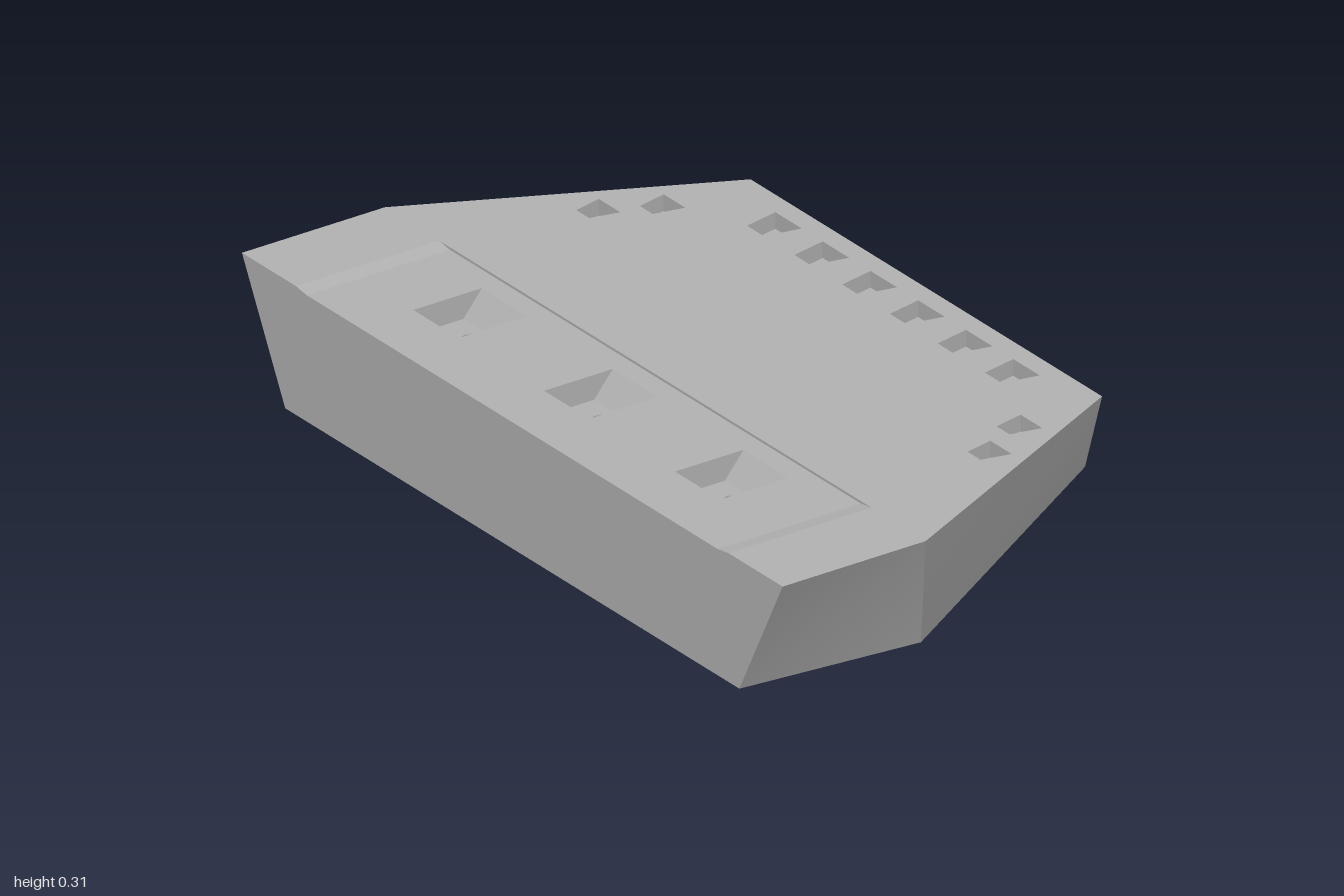
import * as THREE from 'three';
import { toCreasedNormals } from 'three/addons/utils/BufferGeometryUtils.js';

const TOP = 0.31;      // main deck height
const LOW = 0.304;     // slightly sunken front deck

// Convex polygons, corners counter-clockwise seen from outside
function polyGeometry(polys) {
  const pos = [];
  for (const p of polys)
    for (let i = 1; i < p.length - 1; i++) pos.push(...p[0], ...p[i], ...p[i + 1]);
  const g = new THREE.BufferGeometry();
  g.setAttribute('position', new THREE.Float32BufferAttribute(pos, 3));
  return toCreasedNormals(g, Math.PI / 6);
}

const flip = ([x, y, z]) => [-x, y, z];
const mirrorPoly = (p) => p.map(flip).reverse();
const withMirror = (polys) => [...polys, ...polys.map(mirrorPoly)];

// Flat upward face from an [x, z] outline, with holes
function plateGeometry(outline, holes, y) {
  const pts = (o) => o.map(([x, z]) => new THREE.Vector2(x, -z));
  const shape = new THREE.Shape(pts(outline));
  for (const h of holes) shape.holes.push(new THREE.Path(pts(h)));
  return new THREE.ShapeGeometry(shape).rotateX(-Math.PI / 2).translate(0, y, 0);
}

// Inward-facing walls between a rim outline and a floor outline
function wallGeometry(rim, floor, y0, y1) {
  return polyGeometry(rim.map((a, i) => {
    const j = (i + 1) % rim.length;
    const b = rim[j], c = floor[j], d = floor[i];
    return [[a[0], y0, a[1]], [b[0], y0, b[1]], [c[0], y1, c[1]], [d[0], y1, d[1]]];
  }));
}

// Four-sided outline, counter-clockwise from above
const trapezoid = (x, zBack, zFront, halfBack, halfFront) => [
  [x - halfFront, zFront], [x + halfFront, zFront], [x + halfBack, zBack], [x - halfBack, zBack],
];

const circle = (x, z, r, n = 20) => Array.from({ length: n }, (_, i) => {
  const a = (i / n) * Math.PI * 2;
  return [x + r * Math.cos(a), z - r * Math.sin(a)];
});

export function createModel() {
  const group = new THREE.Group();
  const grey = new THREE.MeshStandardMaterial({ color: 0xb2b2b2 });
  grey.name = 'grey';
  const add = (name, geometry, parent = group) => {
    const m = new THREE.Mesh(geometry, grey);
    m.name = name;
    parent.add(m);
  };
  const addGroup = (name) => {
    const g = new THREE.Group();
    g.name = name;
    group.add(g);
    return g;
  };

  // Hull corners on the left half: top, back edge, bottom
  const t0 = [1, TOP, 0.55], t1 = [1, TOP, 0.17], t2 = [0.65, TOP, -0.55];
  const m = [0.587, 0.115, -0.55];
  const b0 = [0.84, 0, 0.55], b1 = [0.885, 0, 0.1], b2 = [0.505, 0, -0.4];
  const r0 = [0.8, TOP, 0.55], r1 = [0.76, LOW, 0.55];

  // Hull shell below the deck
  add('hull', polyGeometry([
    ...withMirror([[b0, b1, t1, t0], [b1, m, t2, t1], [b1, b2, m]]),
    [flip(b0), b0, t0, r0, r1, flip(r1), flip(r0), flip(t0)],
    [m, flip(m), flip(t2), t2],
    [b2, flip(b2), flip(m), m],
    [b0, flip(b0), flip(b1), flip(b2), b2, b1],
  ]));

  // Small wedge pockets along the back and the slanted sides
  const small = [];
  for (const s of [-1, 1]) {
    for (const x of [0.088, 0.265, 0.44]) small.push(trapezoid(s * x, -0.5, -0.412, 0.049, 0.031));
    small.push(trapezoid(s * 0.66, -0.355, -0.28, 0.04, 0.024));
    small.push(trapezoid(s * 0.724, -0.228, -0.157, 0.04, 0.024));
  }

  // Large front pockets with a sloping back wall and a round hole in the floor
  const large = [-0.484, 0, 0.484].map((x) => ({
    rim: trapezoid(x, 0.223, 0.405, 0.084, 0.084),
    floor: trapezoid(x, 0.272, 0.405, 0.084, 0.084),
    hole: circle(x, 0.312, 0.02),
  }));

  // Main deck, sunken front deck and the low step between them
  add('mainDeck', plateGeometry([
    [-1, 0.55], [-0.8, 0.55], [-0.8, 0.17], [0.8, 0.17], [0.8, 0.55], [1, 0.55],
    [1, 0.17], [0.65, -0.55], [-0.65, -0.55], [-1, 0.17],
  ], small, TOP));
  add('frontDeck', plateGeometry([[-0.76, 0.55], [0.76, 0.55], [0.76, 0.17], [-0.76, 0.17]],
    large.map((p) => p.rim), LOW));
  add('deckStep', polyGeometry([
    [[-0.76, LOW, 0.17], [0.76, LOW, 0.17], [0.8, TOP, 0.17], [-0.8, TOP, 0.17]],
    ...withMirror([[r1, r0, [0.8, TOP, 0.17], [0.76, LOW, 0.17]]]),
  ]));

  const smallPockets = addGroup('smallPockets');
  for (const rim of small) {
    add('smallPocketWalls', wallGeometry(rim, rim, TOP, TOP - 0.04), smallPockets);
    add('smallPocketFloor', plateGeometry(rim, [], TOP - 0.04), smallPockets);
  }

  const largePockets = addGroup('largePockets');
  const floorY = LOW - 0.06, holeY = floorY - 0.03;
  for (const { rim, floor, hole } of large) {
    add('largePocketWalls', wallGeometry(rim, floor, LOW, floorY), largePockets);
    add('largePocketFloor', plateGeometry(floor, [hole], floorY), largePockets);
    add('boltHoleWall', wallGeometry(hole, hole, floorY, holeY), largePockets);
    add('boltHoleFloor', plateGeometry(hole, [], holeY), largePockets);
  }

  return group;
}
